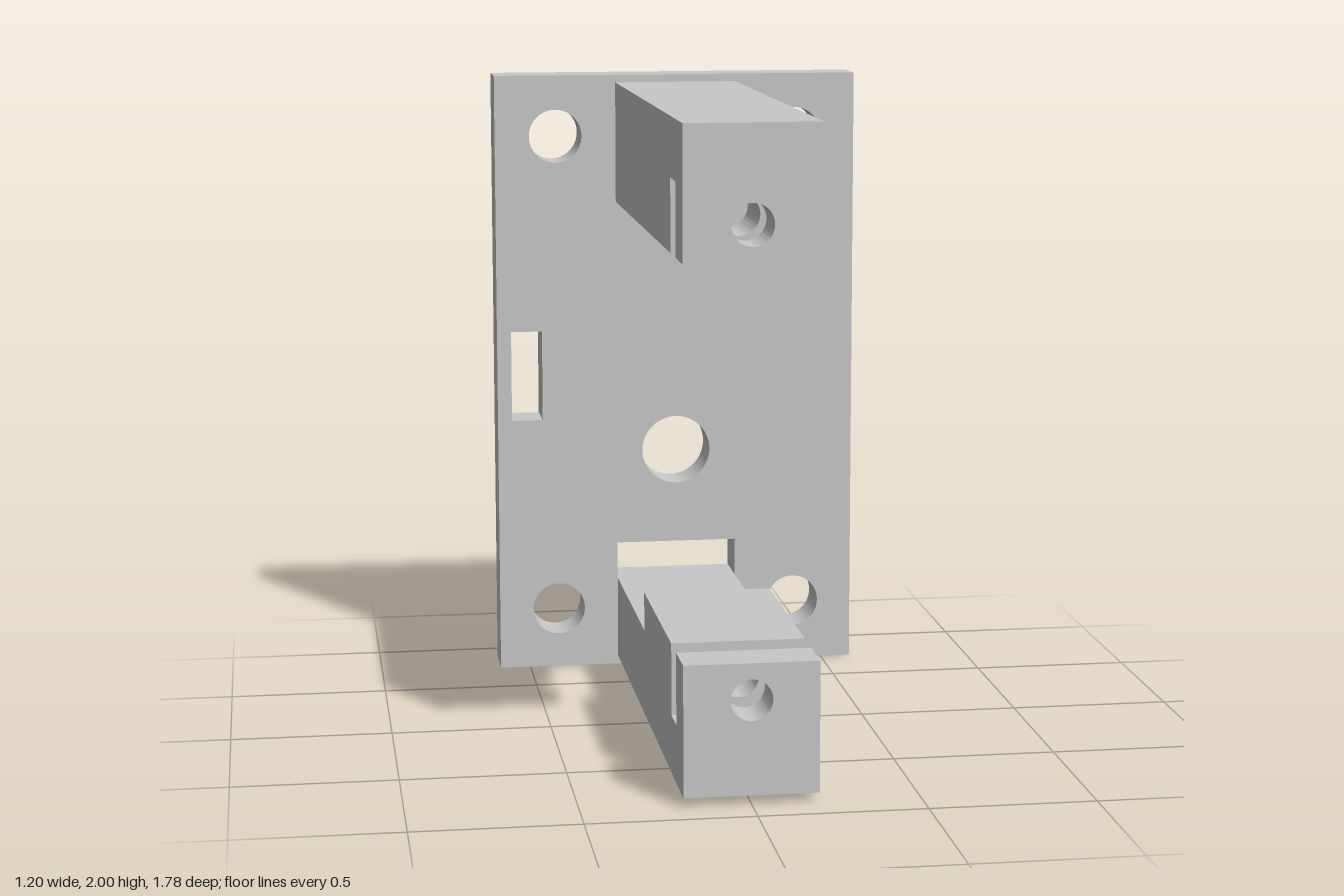
import * as THREE from 'three';
import { toCreasedNormals } from 'three/addons/utils/BufferGeometryUtils.js';

const rectPoints = (x0, x1, y0, y1) => [[x0, y0], [x1, y0], [x1, y1], [x0, y1]].map(([x, y]) => new THREE.Vector2(x, y));
const rectHole = (...r) => new THREE.Path(rectPoints(...r));
const roundHole = (x, y, r) => new THREE.Path().absarc(x, y, r, 0, Math.PI * 2, true);

export function createModel() {
  const model = new THREE.Group();
  model.name = 'bracket';
  const grey = new THREE.MeshStandardMaterial({ color: 0xc8c8c8 });
  grey.name = 'lightGrey';

  // Rectangular block from z0 to z1, with holes running along z
  function block(name, parent, [x0, x1, y0, y1], z0, z1, holes = []) {
    const shape = new THREE.Shape(rectPoints(x0, x1, y0, y1));
    shape.holes.push(...holes);
    const geo = new THREE.ExtrudeGeometry(shape, { depth: z1 - z0, bevelEnabled: false, curveSegments: 48 });
    geo.translate(0, 0, z0);
    const mesh = new THREE.Mesh(toCreasedNormals(geo, 0.5), grey);
    mesh.name = name;
    parent.add(mesh);
  }

  const W = 0.2, FRONT = 0.888, BACK = -0.888, PLATE = -0.738;
  const SLOT_FRONT = 0.738, SLOT_BACK = 0.63, HOLE_END = 0.4, STEP = -0.012;

  // Back plate with corner holes, centre hole and two slots
  const holes = [roundHole(0, 0.738, 0.114), rectHole(-0.553, -0.45, 0.85, 1.15), rectHole(-W, W, 0.3, 0.422)];
  for (const x of [-0.4, 0.4]) for (const y of [0.2, 1.8]) holes.push(roundHole(x, y, 0.087));
  block('backPlate', model, [-0.6, 0.6, 0, 2], BACK, PLATE, holes);

  // Arm: drilled tip, thin bridge beside the notch, drilled body, solid body
  function arm(name, y0, y1, bridge, holeY, solidEnd) {
    const group = new THREE.Group();
    group.name = name;
    model.add(group);
    const full = [-W, W, y0, y1];
    block('tip', group, full, SLOT_FRONT, FRONT, [roundHole(0, holeY, 0.062)]);
    block('notchBridge', group, [-W, W, ...bridge], SLOT_BACK, SLOT_FRONT);
    block('drilledBody', group, full, HOLE_END, SLOT_BACK, [roundHole(0, holeY, 0.062)]);
    block('solidBody', group, full, solidEnd, HOLE_END);
    return group;
  }
  arm('upperArm', 1.58, 1.975, [1.798, 1.975], 1.688, PLATE);
  const lower = arm('lowerArm', 0.027, 0.422, [0.027, 0.203], 0.312, STEP);
  // Lowered rear part of the lower arm
  block('steppedBody', lower, [-W, W, 0.027, 0.3], PLATE, STEP);

  return model;
}
